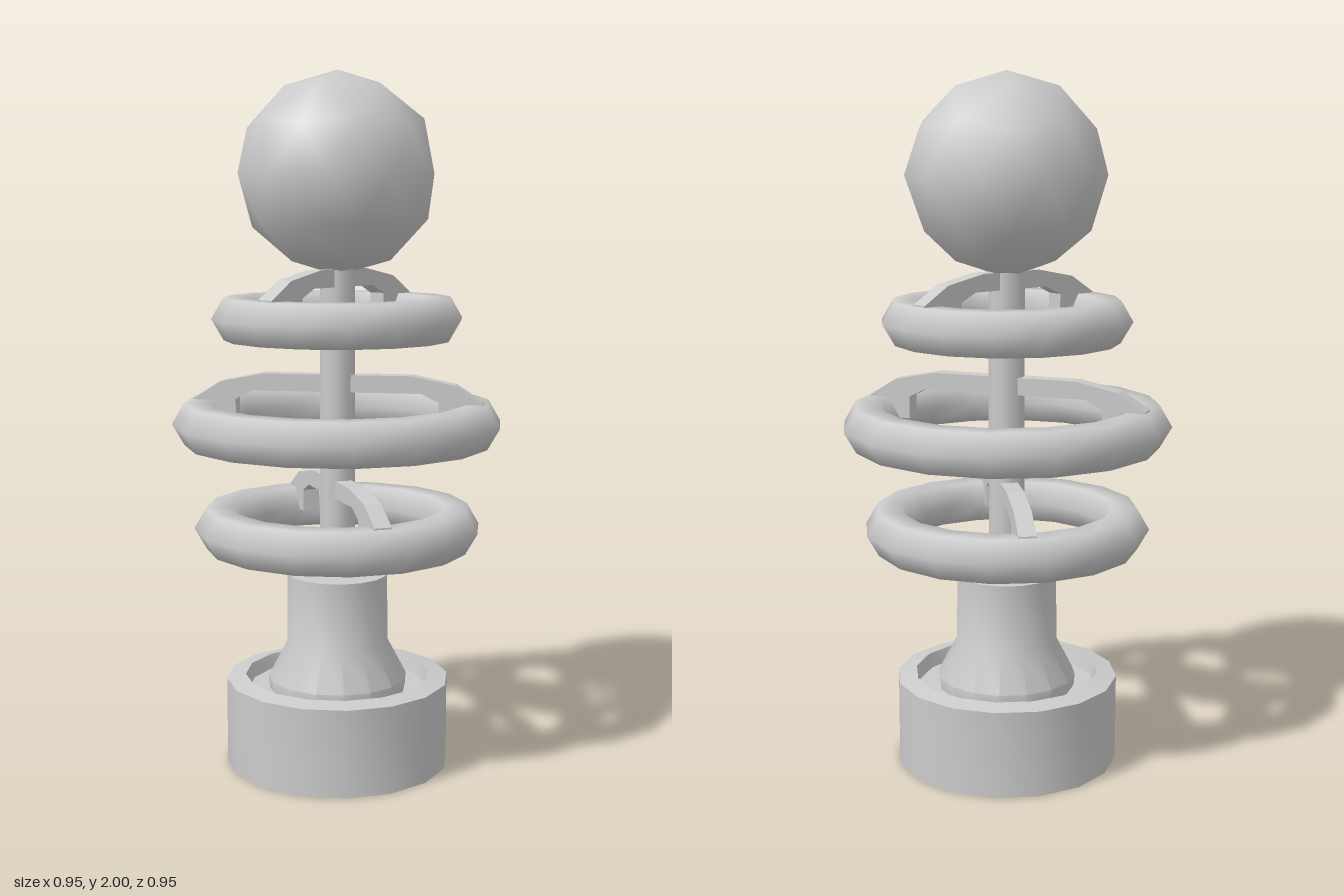
import * as THREE from 'three';
import { toCreasedNormals } from 'three/addons/utils/BufferGeometryUtils.js';

export function createModel() {
  const group = new THREE.Group();
  const grey = new THREE.MeshStandardMaterial({ color: 0xcccccc });
  const greyThin = new THREE.MeshStandardMaterial({ color: 0xcccccc, side: THREE.DoubleSide });

  const add = (name, geometry, material = grey) => {
    const mesh = new THREE.Mesh(geometry, material);
    mesh.name = name;
    group.add(mesh);
    return mesh;
  };

  // Open-bottomed base: outer wall, raised rim, sunken floor, flared collar
  const profile = [
    [0.325, 0], [0.325, 0.252], [0.27, 0.262], [0.26, 0.22], [0.2, 0.22],
    [0.203, 0.255], [0.148, 0.36], [0.146, 0.562], [0, 0.562],
  ].map(([r, y]) => new THREE.Vector2(r, y));
  add('base', toCreasedNormals(new THREE.LatheGeometry(profile, 16), 0.6), greyThin);

  // Central pole
  const pole = add('pole', new THREE.CylinderGeometry(0.052, 0.052, 0.92, 10, 1));
  pole.position.y = 1.0;

  // Arched strut: half outline mirrored to both sides, then given thickness
  const strutGeometry = (R) => {
    const half = [
      [R - 0.19, 0.14], [R - 0.065, 0.115], [R + 0.015, 0.065], [R + 0.015, 0],
      [R - 0.11, 0], [R - 0.11, 0.065], [R - 0.16, 0.09],
    ];
    const mirrored = half.map(([x, y]) => [-x, y]).reverse();
    const shape = new THREE.Shape([...half, ...mirrored].map(([x, y]) => new THREE.Vector2(x, y)));
    return new THREE.ExtrudeGeometry(shape, { depth: 0.05, bevelEnabled: false }).translate(0, 0, -0.025);
  };

  // Three rings, each carried by a strut turned 60 degrees from the next
  const rings = [
    ['lower', 0.345, 0.702, -30],
    ['middle', 0.405, 1.006, 30],
    ['upper', 0.29, 1.306, 90],
  ];
  for (const [name, R, y, angle] of rings) {
    const ring = add(name + 'Ring', new THREE.TorusGeometry(R, 0.07, 6, 16).rotateX(Math.PI / 2));
    ring.position.y = y;
    const strut = add(name + 'Strut', strutGeometry(R));
    strut.position.y = y;
    strut.rotation.y = THREE.MathUtils.degToRad(angle);
  }

  // Ball on top, turned so that one corner points straight up
  const tilt = Math.atan(2 / (1 + Math.sqrt(5)));
  const ball = add('ball', new THREE.IcosahedronGeometry(0.286, 1).rotateZ(-tilt));
  ball.position.y = 1.714;

  return group;
}
